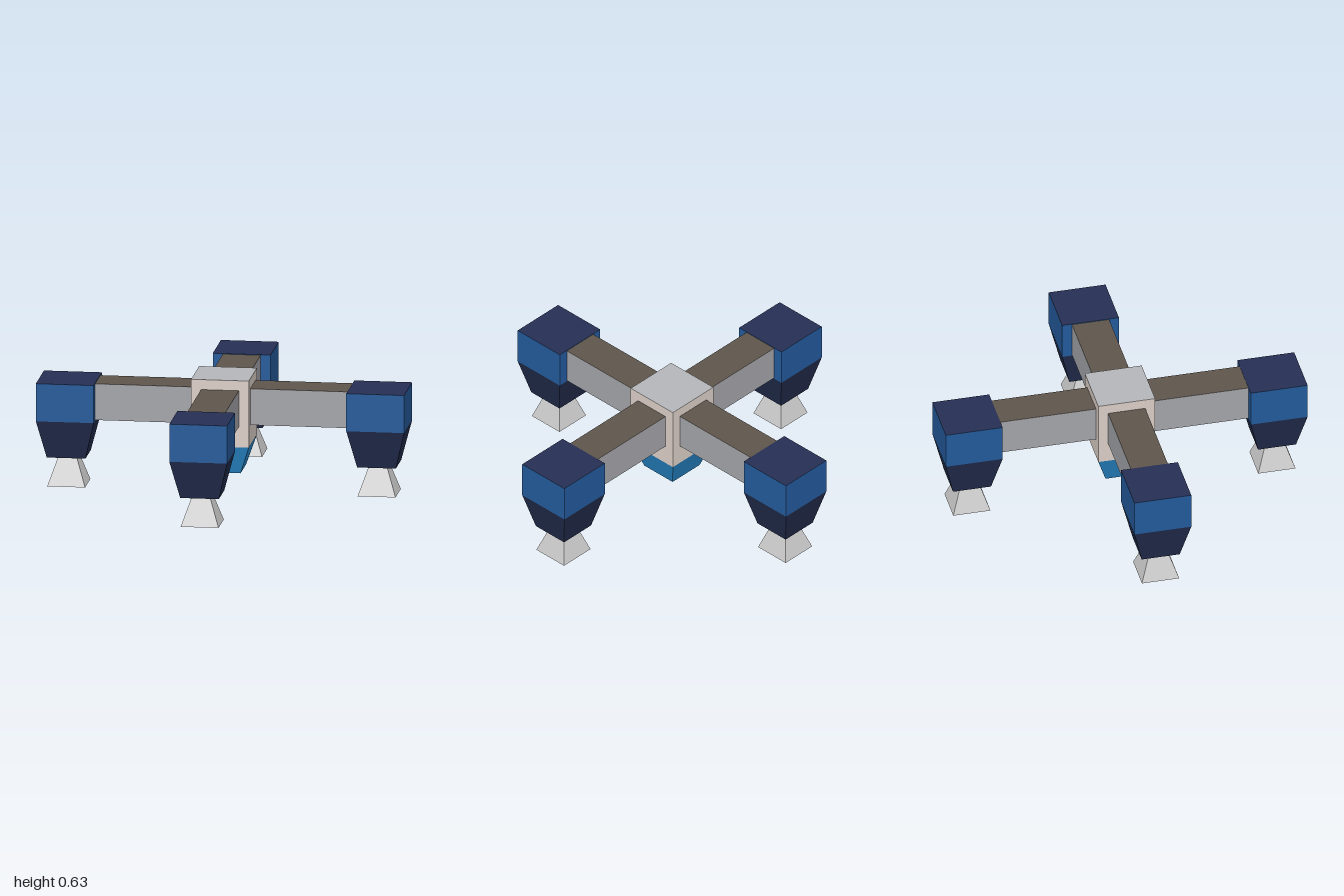
import * as THREE from 'three';

const paint = (color) => new THREE.MeshStandardMaterial({ color, flatShading: true });

const mats = {
  podSide: paint(0x235a9b),
  podTop: paint(0x262f54),
  podTaper: paint(0x222c4c),
  podBottom: paint(0x14406e),
  grey: paint(0xcccccc),
  armSide: paint(0xa4a5aa),
  armTop: paint(0x5e554b),
  dark: paint(0x2f2a26),
  hubSide: paint(0xdccfc7),
  hubTop: paint(0xb4b6ba),
  hubTaper: paint(0x2789cc),
  hubBottom: paint(0x131826),
};

// Square block from y0 to y1 with half-widths at its bottom and top;
// painted separately on its sides, top and bottom
function block(name, y0, y1, halfBottom, halfTop, side, top, bottom) {
  const geo = new THREE.CylinderGeometry(
    halfTop * Math.SQRT2, halfBottom * Math.SQRT2, y1 - y0, 4);
  geo.rotateY(Math.PI / 4);
  geo.translate(0, (y0 + y1) / 2, 0);
  const mesh = new THREE.Mesh(geo, [side, top, bottom]);
  mesh.name = name;
  return mesh;
}

// Beam running out from the hub along +z
function createArm() {
  const start = 0.14, end = 0.70;
  const geo = new THREE.BoxGeometry(0.205, 0.2, end - start);
  geo.translate(0, 0.475, (start + end) / 2);
  const { armSide, armTop, dark } = mats;
  const mesh = new THREE.Mesh(geo, [armSide, armSide, armTop, dark, armSide, armSide]);
  mesh.name = 'arm';
  return mesh;
}

// Pod at the end of an arm: square head, tapered body and flared nozzle
function createPod() {
  const pod = new THREE.Group();
  pod.name = 'pod';
  pod.add(
    block('podHead', 0.37, 0.578, 0.157, 0.157, mats.podSide, mats.podTop, mats.podTaper),
    block('podBody', 0.16, 0.37, 0.105, 0.157, mats.podTaper, mats.podTaper, mats.podBottom),
    block('nozzle', 0, 0.16, 0.103, 0.048, mats.grey, mats.grey, mats.dark),
  );
  pod.position.z = 0.843;
  return pod;
}

export function createModel() {
  const model = new THREE.Group();
  model.name = 'fourArmedCraft';

  // Central hub with its tapered underside
  const hub = new THREE.Group();
  hub.name = 'hub';
  hub.add(
    block('hubCore', 0.262, 0.63, 0.157, 0.157, mats.hubSide, mats.hubTop, mats.hubTaper),
    block('hubBase', 0.107, 0.262, 0.105, 0.157, mats.hubTaper, mats.hubTaper, mats.hubBottom),
  );
  model.add(hub);

  // Four identical arms, a quarter turn apart
  ['front', 'left', 'back', 'right'].forEach((side, i) => {
    const limb = new THREE.Group();
    limb.name = side + 'Limb';
    limb.add(createArm(), createPod());
    limb.rotation.y = i * Math.PI / 2;
    model.add(limb);
  });

  return model;
}
